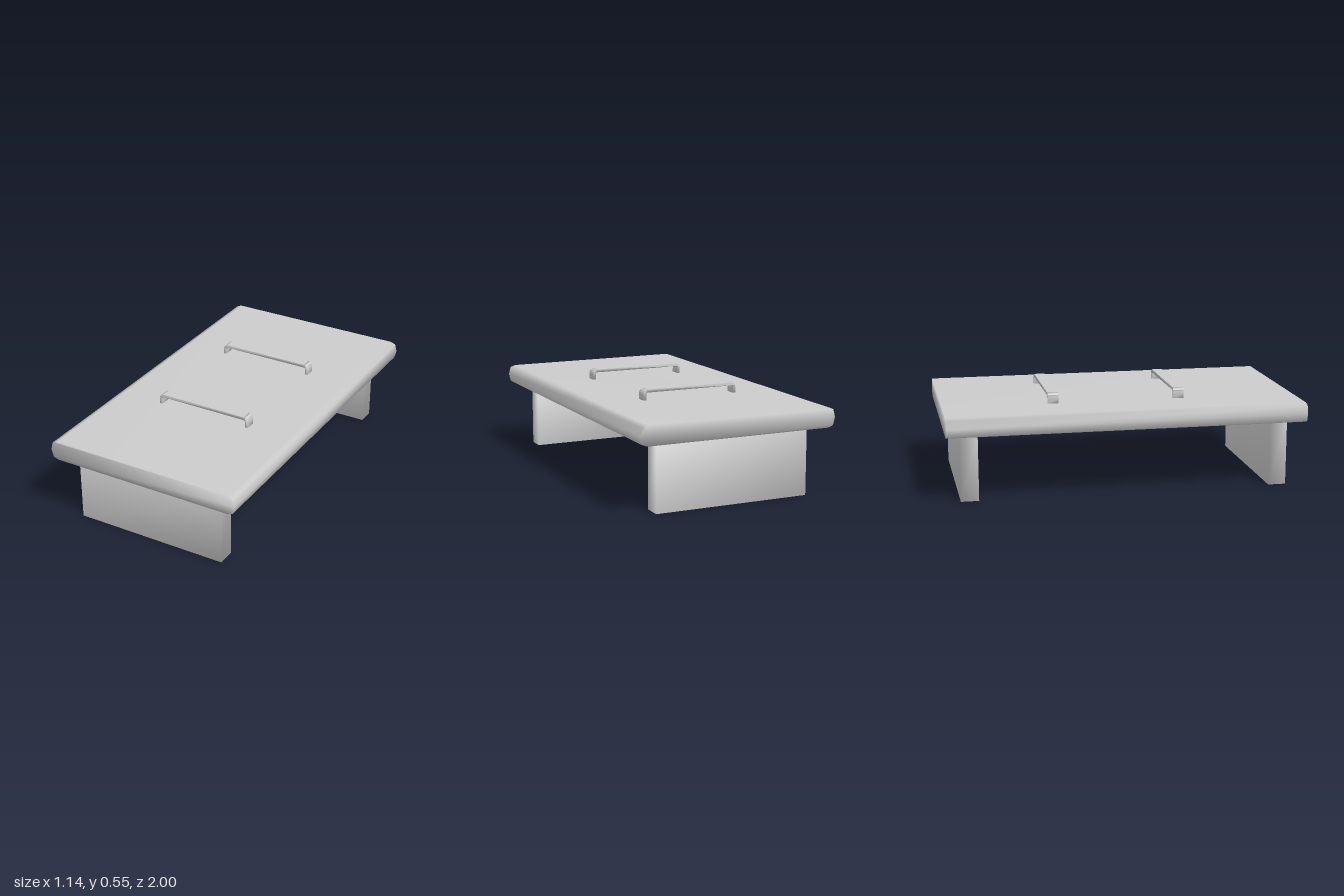
import * as THREE from 'three';
import { mergeVertices } from 'three/addons/utils/BufferGeometryUtils.js';

const material = new THREE.MeshStandardMaterial({ color: 0xcccccc });

// Weld corners so that shading runs smoothly over the edges
function smooth(geometry) {
  geometry.deleteAttribute('normal');
  geometry.deleteAttribute('uv');
  const welded = mergeVertices(geometry, 1e-4);
  welded.computeVertexNormals();
  return welded;
}

// Extrude a front-view outline along z, centred on z = 0
function extrude(shape, depth) {
  const geometry = new THREE.ExtrudeGeometry(shape, { depth, bevelEnabled: false, curveSegments: 4 });
  return smooth(geometry.translate(0, 0, -depth / 2));
}

function addPart(group, name, geometry, x, y, z) {
  const mesh = new THREE.Mesh(geometry, material);
  mesh.name = name;
  mesh.position.set(x, y, z);
  group.add(mesh);
}

export function createModel() {
  const group = new THREE.Group();
  group.name = 'lowTable';

  // Board with rounded long edges
  const edge = [[0.53, 0.38], [0.559, 0.391], [0.571, 0.435], [0.559, 0.479], [0.53, 0.49]];
  const outline = [...edge, ...edge.map(([x, y]) => [-x, y]).reverse()];
  const board = new THREE.Shape(outline.map(([x, y]) => new THREE.Vector2(x, y)));
  addPart(group, 'board', extrude(board, 2), 0, 0, 0);

  // Panel legs
  const leg = smooth(new THREE.BoxGeometry(0.89, 0.38, 0.1));
  addPart(group, 'frontLeg', leg, 0, 0.19, 0.872);
  addPart(group, 'backLeg', leg, 0, 0.19, -0.872);

  // Strap handles: an arch with rounded corners inside and out
  const w = 0.284, h = 0.06, r = 0.028, t = 0.017;
  const arch = new THREE.Shape();
  arch.moveTo(w, 0);
  arch.lineTo(w, h - r);
  arch.absarc(w - r, h - r, r, 0, Math.PI / 2, false);
  arch.absarc(-w + r, h - r, r, Math.PI / 2, Math.PI, false);
  arch.lineTo(-w, 0);
  arch.lineTo(-w + t, 0);
  arch.absarc(-w + r, h - r, r - t, Math.PI, Math.PI / 2, true);
  arch.absarc(w - r, h - r, r - t, Math.PI / 2, 0, true);
  arch.lineTo(w - t, 0);
  arch.closePath();
  const handle = extrude(arch, 0.06);
  addPart(group, 'frontHandle', handle, 0, 0.49, 0.33);
  addPart(group, 'backHandle', handle, 0, 0.49, -0.385);

  return group;
}
